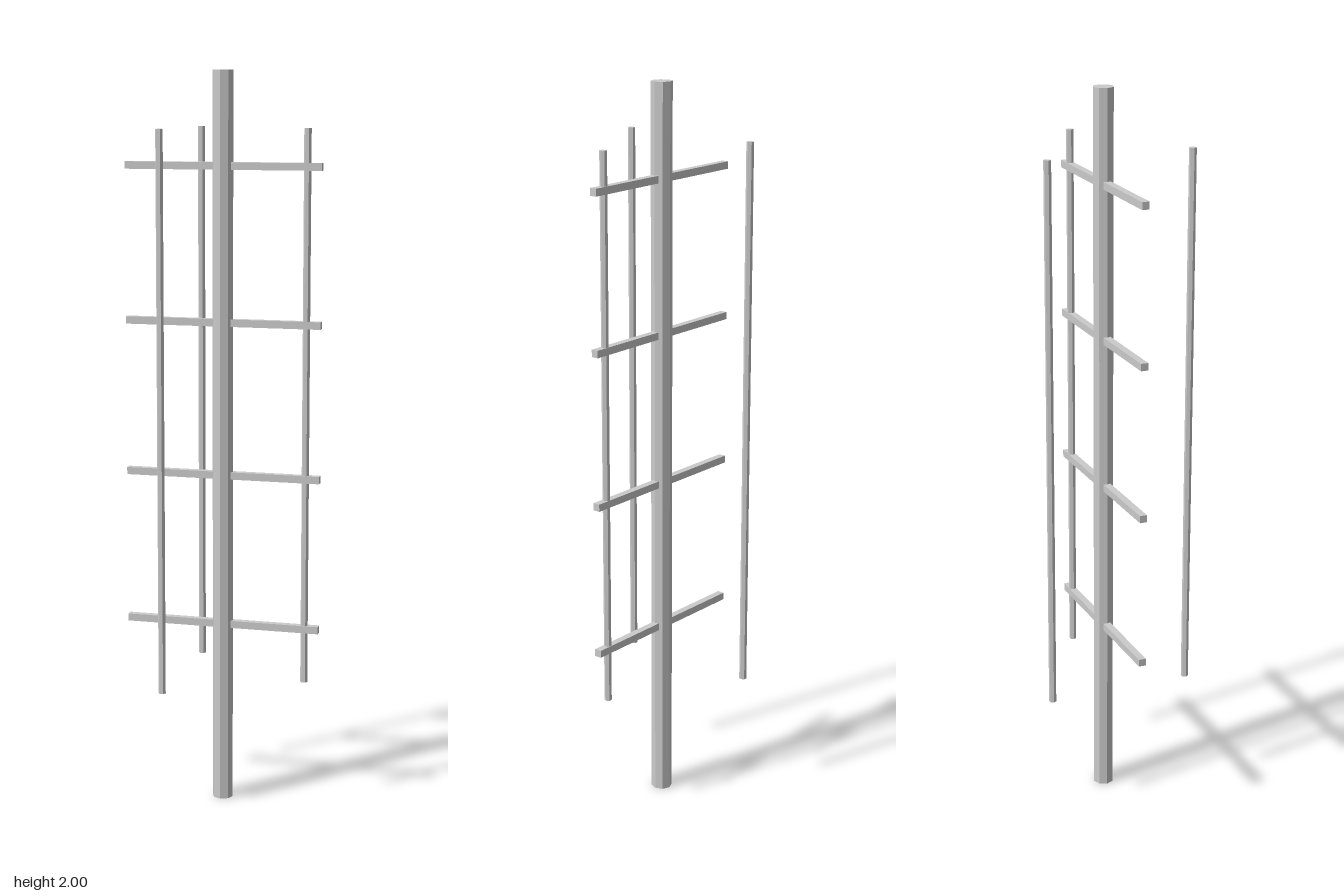
import * as THREE from 'three';

export function createModel() {
  const model = new THREE.Group();
  const grey = new THREE.MeshStandardMaterial({ color: 0xcccccc, flatShading: true });

  const add = (name, geometry, x, y, z) => {
    const mesh = new THREE.Mesh(geometry, grey);
    mesh.name = name;
    mesh.position.set(x, y, z);
    model.add(mesh);
    return mesh;
  };

  // Central octagonal mast
  add('mast', new THREE.CylinderGeometry(0.0286, 0.0286, 2, 8), 0, 1, 0);

  // Three thin hexagonal rods spaced evenly around the mast
  const rod = new THREE.CylinderGeometry(0.01, 0.01, 1.5, 6).rotateY(Math.PI / 6);
  for (let i = 0; i < 3; i++) {
    const a = (i * Math.PI * 2) / 3;
    add(`rod${i + 1}`, rod, 0.23 * Math.cos(a), 1.1, 0.23 * Math.sin(a));
  }

  // Four crossbars through the mast
  const bar = new THREE.BoxGeometry(0.54, 0.02, 0.02);
  for (let i = 0; i < 4; i++) add(`crossbar${i + 1}`, bar, 0, 0.5 + (i * 1.25) / 3, 0);

  return model;
}
